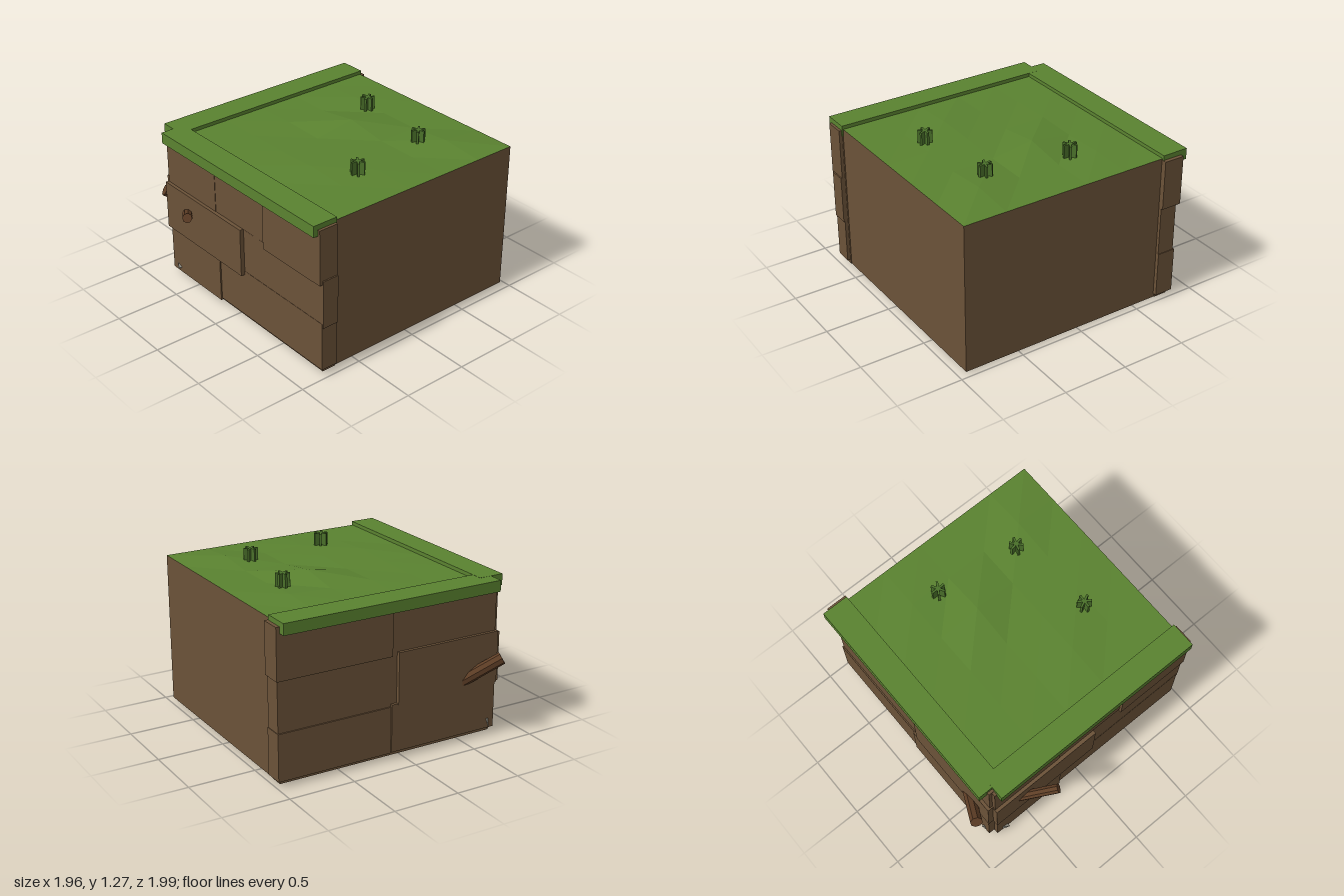
import * as THREE from 'three';
import { ConvexGeometry } from 'three/addons/geometries/ConvexGeometry.js';

const material = (color) => new THREE.MeshStandardMaterial({ color, flatShading: true, side: THREE.DoubleSide });

export function createModel() {
  const group = new THREE.Group();
  const earth = material(0x6b5238), grass = material(0x5a8230), tuftGreen = material(0x4a702a);
  const wood = material(0x5e3e26), stone = material(0x99968a);

  const add = (name, geometry, mat, parent = group) => {
    const mesh = new THREE.Mesh(geometry, mat);
    mesh.name = name;
    parent.add(mesh);
    return mesh;
  };
  // Box given by its limits on each axis
  const box = (name, x0, x1, y0, y1, z0, z1, mat) => {
    const mesh = add(name, new THREE.BoxGeometry(x1 - x0, y1 - y0, z1 - z0), mat);
    mesh.position.set((x0 + x1) / 2, (y0 + y1) / 2, (z0 + z1) / 2);
    return mesh;
  };

  // Plain cut sides
  const right = add('rightWall', new THREE.PlaneGeometry(1.63, 1.15), earth);
  right.rotation.y = Math.PI / 2;
  right.position.set(0.94, 0.595, -0.145);
  const back = add('backWall', new THREE.PlaneGeometry(1.63, 1.15), earth);
  back.rotation.y = Math.PI;
  back.position.set(0.125, 0.595, -0.96);

  // Backing slabs of the two earth walls
  box('frontSlab', -0.79, 0.945, 0.02, 1.15, 0.67, 0.78, earth);
  box('leftSlab', -0.8, -0.69, 0.02, 1.15, -0.965, 0.76, earth);

  // Front blocks: x0, x1, y0, y1, outer z
  [
    [-0.79, -0.18, 0.04, 0.4, 0.815],
    [-0.18, 0.97, 0.055, 0.43, 0.805],
    [-0.805, 0.11, 0.4, 0.775, 0.835],
    [0.11, 0.98, 0.4, 0.77, 0.803],
    [-0.8, -0.21, 0.775, 1.15, 0.81],
    [-0.21, 0.36, 0.775, 1.15, 0.807],
    [0.36, 0.97, 0.74, 1.16, 0.825],
  ].forEach(([x0, x1, y0, y1, z]) => box('frontBlock', x0, x1, y0, y1, 0.675, z, earth));

  // Left blocks: z0, z1, y0, y1, outer x
  [
    [-0.99, -0.1, 0.05, 0.4, -0.83],
    [-0.1, 0.78, 0.06, 0.42, -0.842],
    [-0.985, -0.05, 0.4, 0.78, -0.82],
    [-0.05, 0.79, 0.41, 0.8, -0.848],
    [-1.0, -0.1, 0.78, 1.16, -0.845],
    [-0.1, 0.78, 0.78, 1.16, -0.825],
  ].forEach(([z0, z1, y0, y1, x]) => box('leftBlock', x, -0.685, y0, y1, z0, z1, earth));

  // Grass surface with gentle mounds
  const ground = new THREE.PlaneGeometry(1.63, 1.63, 5, 5).rotateX(-Math.PI / 2);
  const mounds = { '2,2': 0.048, '4,1': 0.03, '3,4': 0.02, '3,3': 0.012, '1,1': 0.014, '4,3': 0.01, '2,4': 0.004, '1,3': 0.008 };
  const pos = ground.attributes.position;
  for (let i = 0; i < pos.count; i++) pos.setY(i, mounds[`${i % 6},${Math.floor(i / 6)}`] ?? 0);
  ground.computeVertexNormals();
  add('grassSurface', ground, grass).position.set(0.125, 1.17, -0.145);

  // Raised turf border
  box('leftTurfEdge', -0.895, -0.69, 1.113, 1.197, -0.972, 0.76, grass);
  box('frontTurfEdge', -0.78, 0.95, 1.113, 1.198, 0.665, 0.86, grass);

  // Grass tufts: three crossed blades each
  [[-0.17, -0.58, 0], [0.475, -0.495, 0.2], [0.56, 0.15, 0.45]].forEach(([x, z, turn]) => {
    const tuft = new THREE.Group();
    tuft.name = 'grassTuft';
    tuft.position.set(x, 1.225, z);
    for (let i = 0; i < 3; i++) {
      add('blade', new THREE.BoxGeometry(0.105, 0.1, 0.016), tuftGreen, tuft).rotation.y = turn + (i * Math.PI) / 3;
    }
    group.add(tuft);
  });

  // Broken roots sticking out of the walls
  const root = (name, from, to, radius) => {
    const a = new THREE.Vector3(...from), b = new THREE.Vector3(...to);
    const dir = b.clone().sub(a);
    const mesh = add(name, new THREE.CylinderGeometry(radius, radius, dir.length(), 8), wood);
    mesh.position.copy(a).add(b).multiplyScalar(0.5);
    mesh.quaternion.setFromUnitVectors(new THREE.Vector3(0, 1, 0), dir.normalize());
  };
  root('frontRoot', [-0.68, 0.55, 0.74], [-0.345, 0.718, 0.965], 0.036);
  root('leftRoot', [-0.77, 0.41, 0.43], [-0.937, 0.628, 0.765], 0.046);

  // Stone embedded in the lower corner
  const corners = [[-0.69, 0.08, 0.84], [-0.73, 0.05, 0.82], [-0.73, 0.1, 0.82],
    [-0.86, 0.14, 0.72], [-0.845, 0.07, 0.74], [-0.735, 0.005, 0.72], [-0.67, 0.07, 0.66]];
  add('cornerStone', new ConvexGeometry(corners.map((c) => new THREE.Vector3(...c))), stone);

  return group;
}
